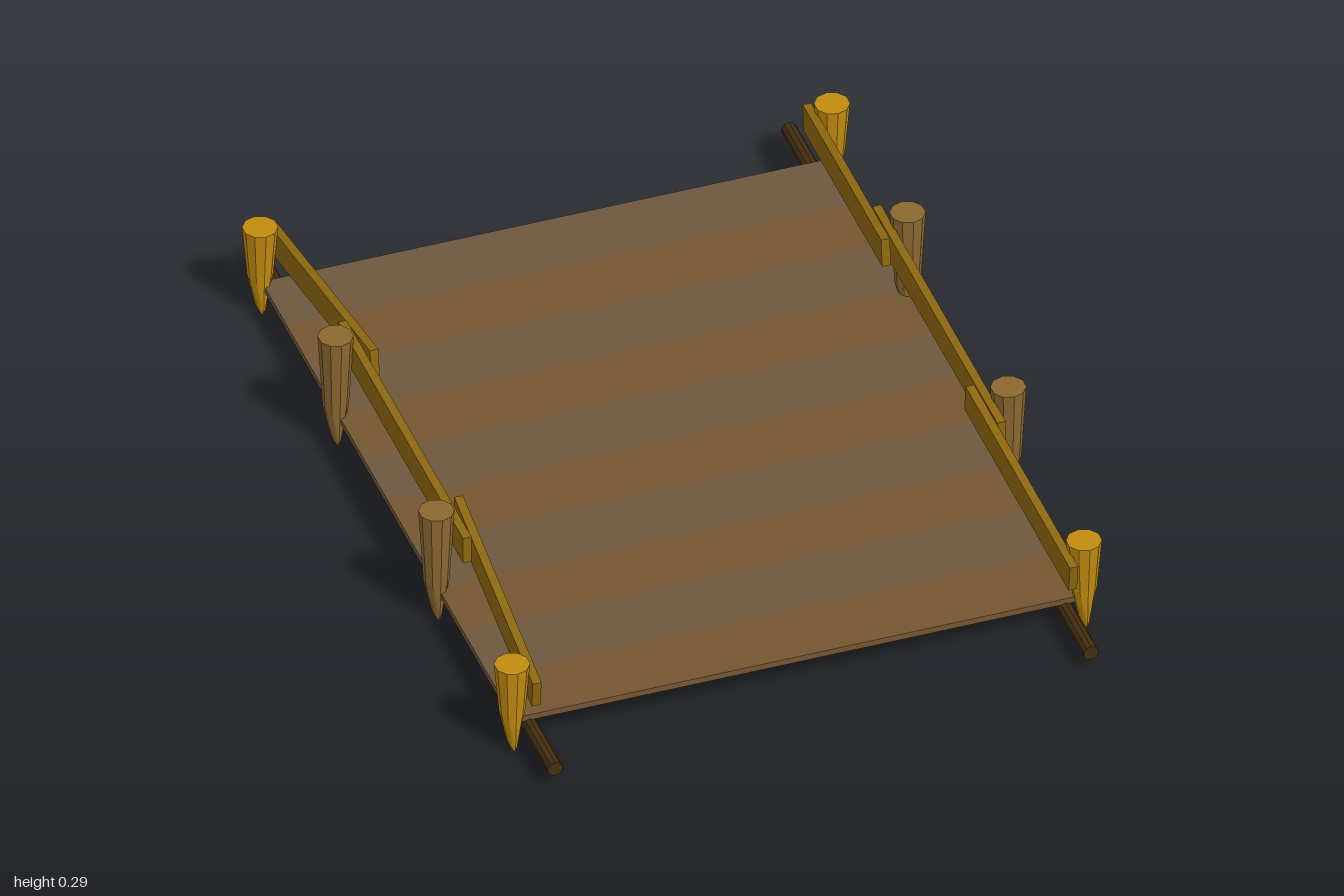
import * as THREE from 'three';

const mat = (color) => new THREE.MeshStandardMaterial({ color, flatShading: true });

// Tapered post hewn to a blunt chisel edge at its foot
function postGeometry(height) {
  const rings = [[0.0, 0.02], [0.012, 0.024], [0.1, 0.029], [height, 0.04]];
  const points = [new THREE.Vector2(0, 0), ...rings.map(([y, r]) => new THREE.Vector2(r, y)), new THREE.Vector2(0, height)];
  const geometry = new THREE.LatheGeometry(points, 10);
  const pos = geometry.attributes.position;
  for (let i = 0; i < pos.count; i++) {
    const y = pos.getY(i);
    if (y < 0.05) pos.setX(i, pos.getX(i) * (y < 0.005 ? 0.2 : 0.38));
  }
  return geometry;
}

// Flat board laid between two end points
function board(name, a, b, material) {
  const from = new THREE.Vector3(...a), to = new THREE.Vector3(...b);
  const mesh = new THREE.Mesh(new THREE.BoxGeometry(0.02, 0.068, from.distanceTo(to)), material);
  mesh.position.copy(from).add(to).multiplyScalar(0.5);
  mesh.lookAt(to);
  mesh.name = name;
  return mesh;
}

export function createModel() {
  const model = new THREE.Group();
  model.name = 'footbridge';
  const beamMat = mat(0x432d0f), railMat = mat(0x8e670f);
  const plankMats = [mat(0x6d583f), mat(0x755732)];
  const outerMat = mat(0xc18b0f), innerMat = mat(0x8b6830);

  // Deck of alternating planks
  const deck = new THREE.Group();
  deck.name = 'deck';
  const count = 10, width = 1.666 / count;
  for (let i = 0; i < count; i++) {
    const plank = new THREE.Mesh(new THREE.BoxGeometry(1.33, 0.015, width), plankMats[i % 2]);
    plank.position.set(0, 0.07, -0.833 + (i + 0.5) * width);
    plank.name = 'plank';
    deck.add(plank);
  }
  model.add(deck);

  const outerPost = postGeometry(0.23), innerPost = postGeometry(0.292);
  for (const side of [-1, 1]) {
    // Round beam under the deck edge
    const beam = new THREE.Mesh(new THREE.CylinderGeometry(0.018, 0.018, 2, 10), beamMat);
    beam.rotation.x = Math.PI / 2;
    beam.position.set(side * 0.626, 0.048, 0);
    beam.name = 'beam';
    model.add(beam);

    // Posts
    for (const z of [-0.833, -0.333, 0.333, 0.833]) {
      const outer = Math.abs(z) > 0.5;
      const post = new THREE.Mesh(outer ? outerPost : innerPost, outer ? outerMat : innerMat);
      post.position.set(side * 0.668, 0, z);
      post.name = outer ? 'outerPost' : 'innerPost';
      model.add(post);
    }

    // Level middle rail and two sloping end rails
    model.add(board('middleRail', [side * 0.624, 0.229, -0.413], [side * 0.624, 0.229, 0.413], railMat));
    for (const end of [-1, 1]) {
      model.add(board('slopingRail', [side * 0.627, 0.168, end * 0.88], [side * 0.597, 0.24, end * 0.275], railMat));
    }
  }
  return model;
}
